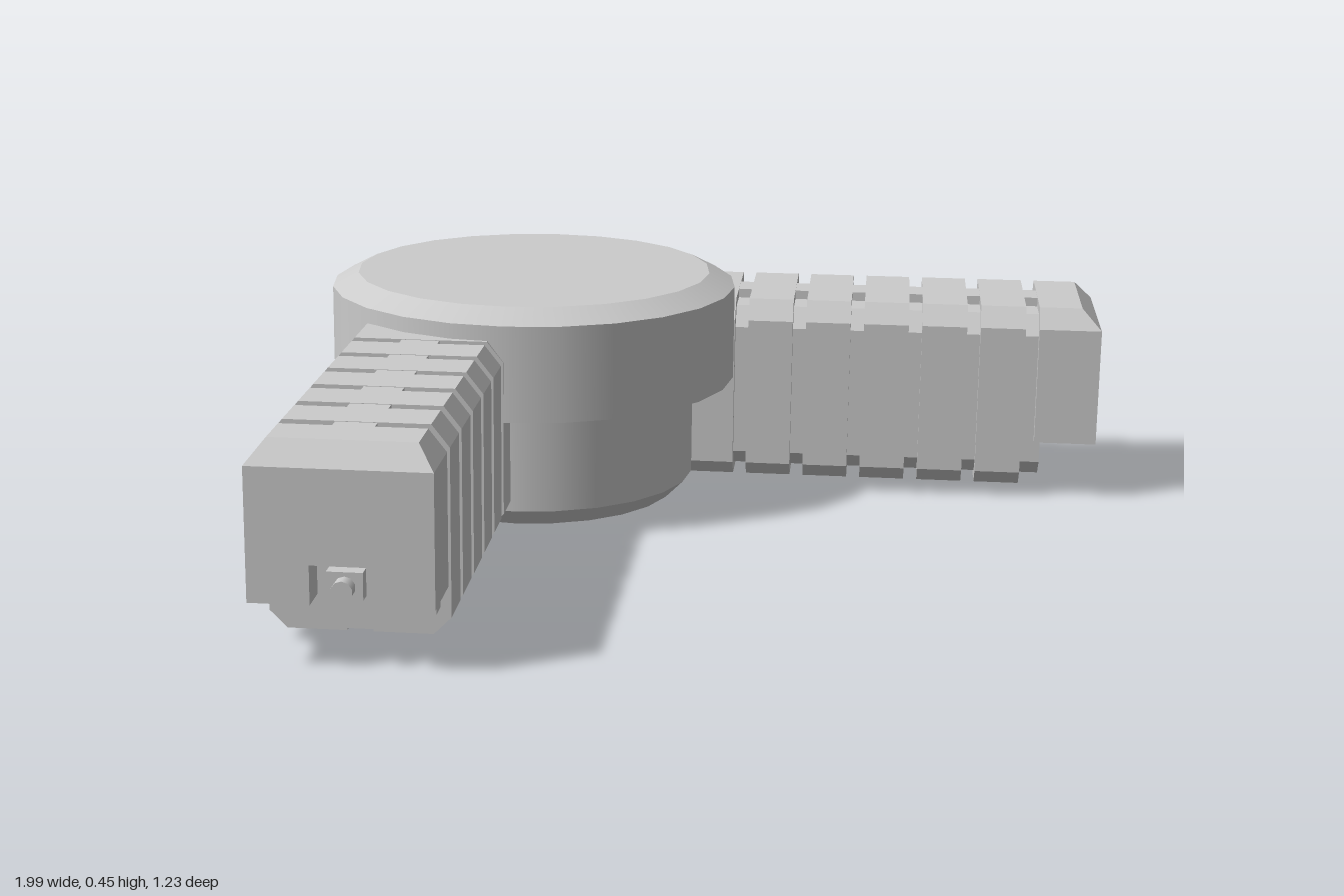
import * as THREE from 'three';
import { ConvexGeometry } from 'three/addons/geometries/ConvexGeometry.js';

const W = 0.1525;           // half width of an arm
const BOTTOM = 0.025, TOP = 0.383;
const material = new THREE.MeshStandardMaterial({ color: 0xcccccc });

function add(parent, name, geometry, x = 0, y = 0, z = 0) {
  const mesh = new THREE.Mesh(geometry, material);
  mesh.name = name;
  mesh.position.set(x, y, z);
  parent.add(mesh);
  return mesh;
}

// Chamfered arm section, shrunk by inset, with an optional slot along the underside
function section(inset, slot = 0) {
  const w = W - inset, b = BOTTOM + inset, t = TOP - inset;
  const points = [[-w, b + 0.03], [-w + 0.03, b]];
  if (slot) points.push([-slot, b], [-slot, b + 0.02], [slot, b + 0.02], [slot, b]);
  points.push([w - 0.03, b], [w, b + 0.03], [w, t - 0.038], [w - 0.03, t], [-w + 0.03, t], [-w, t - 0.038]);
  return new THREE.Shape(points.map(([x, y]) => new THREE.Vector2(x, y)));
}

function prism(parent, name, shape, from, to) {
  add(parent, name, new THREE.ExtrudeGeometry(shape, { depth: to - from, bevelEnabled: false }), 0, 0, from);
}

function box(parent, name, x0, x1, y0, y1, z0, z1) {
  add(parent, name, new THREE.BoxGeometry(x1 - x0, y1 - y0, z1 - z0), (x0 + x1) / 2, (y0 + y1) / 2, (z0 + z1) / 2);
}

function makeArm() {
  const arm = new THREE.Group();
  const firstGroove = 0.41, pitch = 0.113, gap = 0.013, grooves = 6;

  // Smooth root, recessed core and the ribs around it
  prism(arm, 'armRoot', section(0), 0, firstGroove - gap);
  prism(arm, 'armCore', section(0.018), firstGroove - gap, 1.0);
  for (let i = 0; i < grooves - 1; i++) {
    const start = firstGroove + i * pitch;
    prism(arm, 'rib', section(0, i === grooves - 2 ? 0.022 : 0), start + gap, start + pitch - gap);
  }
  box(arm, 'topSpine', -0.035, 0.035, 0.34, TOP - 0.001, 0.39, 1.0);

  // End cap: sloped top, with a niche in its lower edge
  const z0 = 0.988, z1 = 1.07, z2 = 1.107, nicheTop = 0.185, capBottom = 0.118, nicheHalf = 0.05;
  const cap = [];
  for (const s of [-1, 1]) {
    for (const z of [z0, z1]) {
      cap.push([s * W, TOP - 0.038, z], [s * (W - 0.03), TOP, z]);
    }
    cap.push([s * W, nicheTop, z0], [s * W, nicheTop, z2], [s * W, TOP - 0.038, z2]);
  }
  add(arm, 'endCap', new ConvexGeometry(cap.map((p) => new THREE.Vector3(...p))));
  box(arm, 'capCheek', -W, -nicheHalf, capBottom, nicheTop, z0, z2);
  box(arm, 'capCheek', nicheHalf, W, capBottom, nicheTop, z0, z2);
  box(arm, 'nicheBack', -nicheHalf, nicheHalf, capBottom, nicheTop, z0, 1.05);
  box(arm, 'nicheBlock', -0.03, 0.03, capBottom, 0.165, 1.05, 1.075);
  const pin = add(arm, 'pin', new THREE.CylinderGeometry(0.018, 0.018, 0.03, 10), 0, 0.14, 1.085);
  pin.rotation.x = Math.PI / 2;
  return arm;
}

export function createModel() {
  const model = new THREE.Group();
  model.name = 'jointedBracket';
  const body = new THREE.Group();
  body.name = 'body';
  body.position.set(-0.045, 0.004, -0.225);
  body.rotation.set(0.012, THREE.MathUtils.degToRad(4), 0);
  model.add(body);

  // Hub: [name, top radius, bottom radius, bottom y, top y]
  const hub = [
    ['hubFoot', 0.315, 0.28, 0, 0.035],
    ['hubDrum', 0.315, 0.315, 0.035, 0.235],
    ['hubDisc', 0.395, 0.395, 0.23, 0.412],
    ['hubRim', 0.345, 0.395, 0.412, 0.438],
  ];
  for (const [name, rTop, rBottom, y0, y1] of hub) {
    add(body, name, new THREE.CylinderGeometry(rTop, rBottom, y1 - y0, 24), 0, (y0 + y1) / 2, 0);
  }

  // Two arms at right angles, each running tangent to the drum
  for (const side of [1, -1]) {
    const pivot = new THREE.Group();
    pivot.name = side > 0 ? 'leftArm' : 'rightArm';
    pivot.rotation.y = side * Math.PI / 4;
    const arm = makeArm();
    arm.position.x = side * (W + 0.002);
    pivot.add(arm);
    body.add(pivot);
  }
  return model;
}
